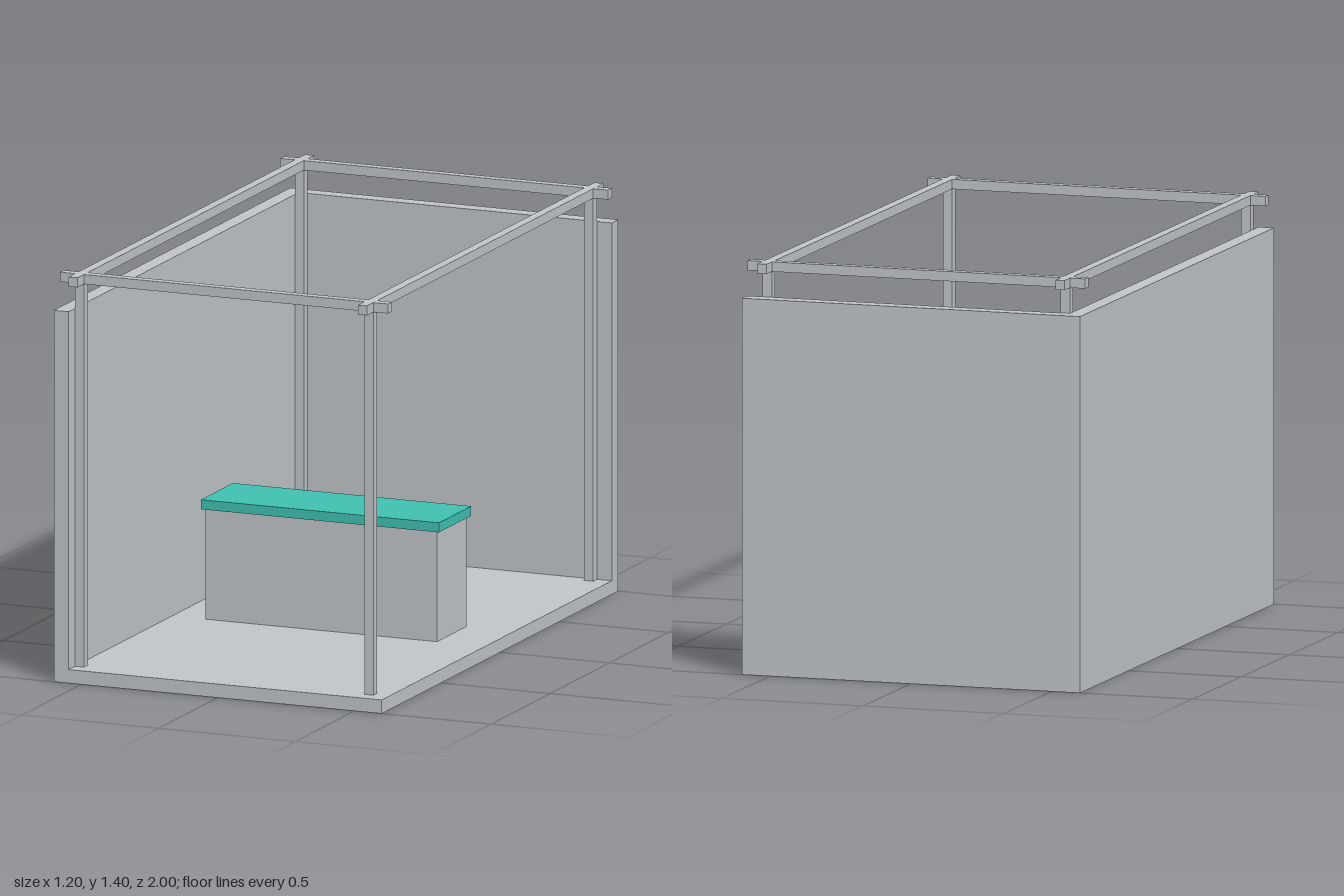
import * as THREE from 'three';

export function createModel() {
  const model = new THREE.Group();
  model.name = 'exhibitionBooth';

  const grey = new THREE.MeshStandardMaterial({ color: 0xc3c7ca });
  grey.name = 'light grey';
  const teal = new THREE.MeshStandardMaterial({ color: 0x40c2b3 });
  teal.name = 'teal';

  // Box given by its extents on each axis
  const addBox = (name, [x0, x1], [y0, y1], [z0, z1], material = grey) => {
    const mesh = new THREE.Mesh(new THREE.BoxGeometry(x1 - x0, y1 - y0, z1 - z0), material);
    mesh.position.set((x0 + x1) / 2, (y0 + y1) / 2, (z0 + z1) / 2);
    mesh.name = name;
    model.add(mesh);
  };
  const around = (centre, size) => [centre - size / 2, centre + size / 2];

  const W = 0.6, D = 1, T = 0.054;
  const floorTop = 0.047, wallTop = 1.28, frameTop = 1.4;
  const bar = 0.033, barX = 0.5295, barZ = 0.9295;
  const beamY = [frameTop - bar, frameTop];

  // Floor and the two closed sides
  addBox('floor', [-W + T, W], [0, floorTop], [-D + T, D]);
  addBox('sideWall', [-W, -W + T], [0, wallTop], [-D, D]);
  addBox('backWall', [-W + T, W], [0, wallTop], [-D, -D + T]);

  // Corner posts and the overhead beams crossing above them
  for (const s of [-1, 1]) {
    for (const t of [-1, 1]) {
      addBox('post', around(s * barX, bar), [floorTop, beamY[0]], around(t * barZ, bar));
    }
    addBox('longBeam', around(s * barX, bar), beamY, [-D, D]);
    addBox('crossBeam', [-W, W], beamY, around(s * barZ, bar));
  }

  // Counter with an overhanging top
  addBox('counterBase', [-0.424, 0.424], [floorTop, 0.427], [-0.125, 0.125]);
  addBox('counterTop', [-0.436, 0.436], [0.427, 0.46], [-0.136, 0.136], teal);

  return model;
}
